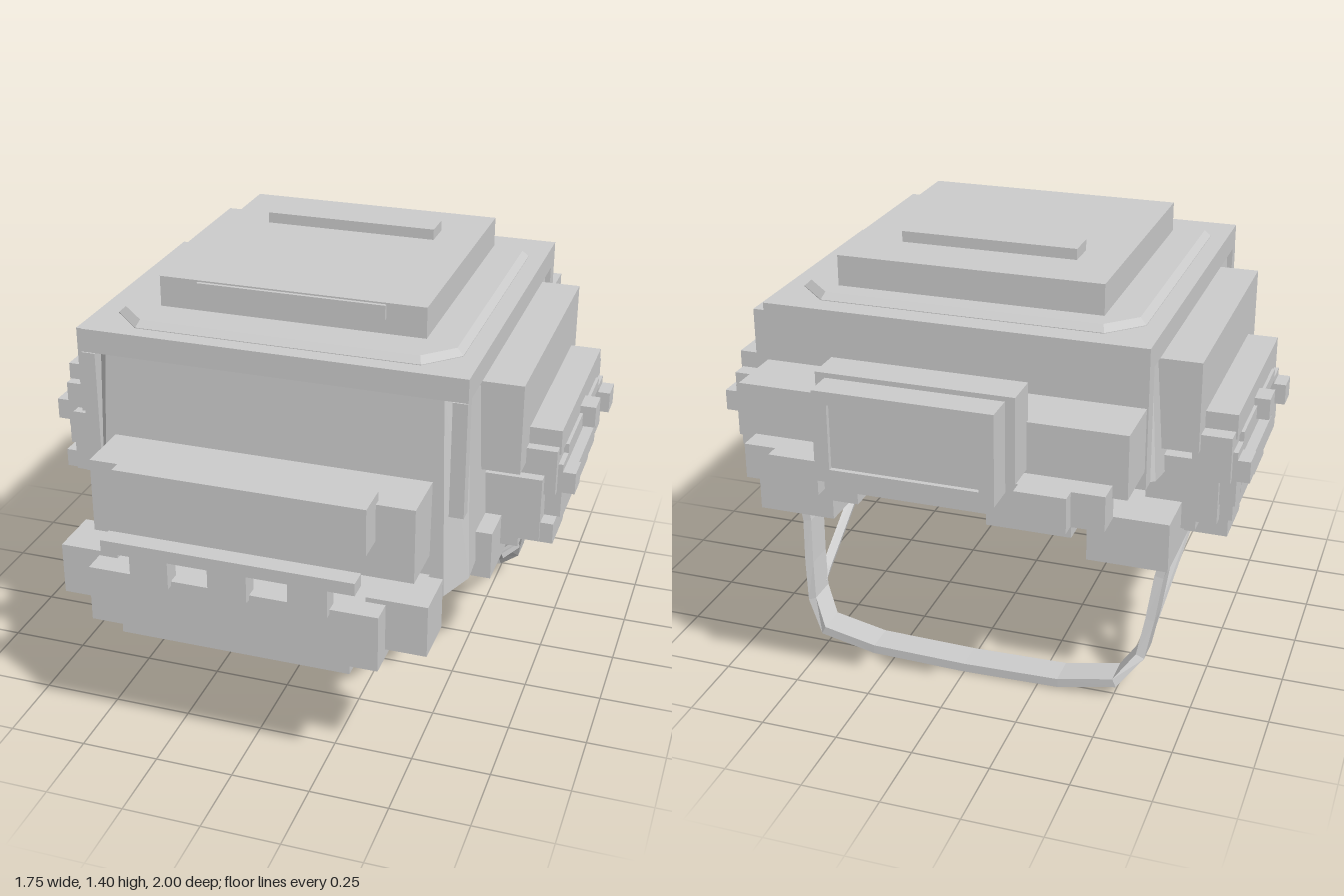
import * as THREE from 'three';

export function createModel() {
  const model = new THREE.Group();
  model.name = 'helmet';
  const grey = new THREE.MeshStandardMaterial({ color: 0xcccccc, flatShading: true });
  grey.name = 'plain grey';

  function add(name, geometry) {
    const mesh = new THREE.Mesh(geometry, grey);
    mesh.name = name;
    model.add(mesh);
    return mesh;
  }
  // Box given by its lower and upper limits on each axis
  function box(name, x0, x1, y0, y1, z0, z1) {
    const g = new THREE.BoxGeometry(x1 - x0, y1 - y0, z1 - z0);
    return add(name, g.translate((x0 + x1) / 2, (y0 + y1) / 2, (z0 + z1) / 2));
  }
  const wide = (name, x, y0, y1, z0, z1) => box(name, -x, x, y0, y1, z0, z1);
  function pair(name, x0, x1, y0, y1, z0, z1) {
    box(name + 'Left', x0, x1, y0, y1, z0, z1);
    box(name + 'Right', -x1, -x0, y0, y1, z0, z1);
  }
  // Rectangle with cut corners, drawn with shape y as -z
  function octagon(x, front, back, cut) {
    const points = [[-x + cut, -front], [x - cut, -front], [x, -front + cut], [x, back - cut],
      [x - cut, back], [-x + cut, back], [-x, back - cut], [-x, -front + cut]];
    return new THREE.Shape(points.map(([a, b]) => new THREE.Vector2(a, b)));
  }
  // Strap swept through points; each section has a width direction and a thickness
  function strap(name, points, width, thickness) {
    const pos = [], index = [];
    const p = points.map(a => new THREE.Vector3(...a));
    p.forEach((c, i) => {
      const t = p[Math.min(i + 1, p.length - 1)].clone().sub(p[Math.max(i - 1, 0)]);
      const n = t.cross(width).normalize().multiplyScalar(thickness / 2);
      for (const [w, s] of [[-0.5, -1], [0.5, -1], [0.5, 1], [-0.5, 1]]) {
        const v = c.clone().addScaledVector(width, w).addScaledVector(n, s);
        pos.push(v.x, v.y, v.z);
      }
    });
    for (let i = 0; i < p.length - 1; i++) {
      for (let k = 0; k < 4; k++) {
        const a = i * 4 + k, b = i * 4 + (k + 1) % 4;
        index.push(a, b, b + 4, a, b + 4, a + 4);
      }
    }
    const e = (p.length - 1) * 4;
    index.push(0, 2, 1, 0, 3, 2, e, e + 1, e + 2, e, e + 2, e + 3);
    // wind faces outward
    for (let i = 0; i < index.length; i += 3) {
      const tri = [0, 1, 2].map(k => new THREE.Vector3().fromArray(pos, index[i + k] * 3));
      const normal = tri[1].clone().sub(tri[0]).cross(tri[2].clone().sub(tri[0]));
      const seg = Math.min(Math.floor(Math.min(index[i], index[i + 1], index[i + 2]) / 4), p.length - 2);
      const mid = p[seg].clone().add(p[seg + 1]).multiplyScalar(0.5);
      const centre = tri[0].clone().add(tri[1]).add(tri[2]).divideScalar(3);
      if (normal.dot(centre.sub(mid)) < 0) [index[i + 1], index[i + 2]] = [index[i + 2], index[i + 1]];
    }
    const g = new THREE.BufferGeometry();
    g.setAttribute('position', new THREE.Float32BufferAttribute(pos, 3));
    g.setIndex(index);
    const flat = g.toNonIndexed();
    flat.computeVertexNormals();
    add(name, flat);
  }

  // Flared inner body with cut corners and an underside that rises to the rear
  const body = new THREE.ExtrudeGeometry(octagon(0.618, 0.64, 0.605, 0.062),
    { depth: 1, bevelEnabled: false }).rotateX(-Math.PI / 2);
  const bp = body.attributes.position;
  for (let i = 0; i < bp.count; i++) {
    const top = bp.getY(i) > 0.5, x = bp.getX(i), z = bp.getZ(i);
    const base = z > 0.6 ? 0.535 : 0.575 + (0.578 - z) * 0.2;
    bp.setXYZ(i, top ? x * 0.955 : x, top ? 1.18 : base, top ? z * 0.95 : z);
  }
  body.computeVertexNormals();
  add('body', body);

  // Outer shell: roof slab on front pillars and a rear wall
  wide('shellRoof', 0.605, 1.17, 1.245, -0.61, 0.62);
  pair('frontPillar', 0.56, 0.605, 0.8, 1.17, 0.58, 0.625);
  wide('shellRearWall', 0.605, 0.8, 1.17, -0.61, -0.555);

  // Chamfered cap and top plate
  add('roofCap', new THREE.ExtrudeGeometry(octagon(0.548, 0.565, 0.535, 0.1), {
    depth: 0.01, bevelThickness: 0.02, bevelSize: 0.02, bevelOffset: -0.02, bevelSegments: 1,
  }).rotateX(-Math.PI / 2).translate(0, 1.237, 0));
  wide('topPlate', 0.425, 1.25, 1.365, -0.45, 0.42);
  wide('topRidge', 0.285, 1.365, 1.4, -0.265, -0.165);
  wide('topFrontLabel', 0.3, 1.315, 1.36, 0.42, 0.432);

  // Front visor stack and chin bumper
  wide('visorBase', 0.508, 0.665, 0.905, 0.56, 0.805);
  wide('visorScreen', 0.39, 0.785, 0.935, 0.78, 0.897);
  wide('visorRail', 0.39, 0.715, 0.755, 0.94, 1.0);
  for (const x of [-0.245, 0, 0.245]) box('railClip', x - 0.06, x + 0.06, 0.62, 0.71, 0.93, 0.99);
  wide('bumper', 0.45, 0.455, 0.635, 0.755, 0.968);
  pair('bumperEnd', 0.39, 0.575, 0.485, 0.65, 0.73, 0.895);
  wide('bumperLip', 0.36, 0.415, 0.455, 0.815, 0.95);
  wide('chinPlate', 0.51, 0.5, 0.6, 0.47, 0.7);

  // Side packs
  pair('sidePanel', 0.54, 0.725, 0.865, 1.155, -0.45, 0.42);
  pair('sideBase', 0.56, 0.785, 0.62, 0.83, -0.42, 0.37);
  pair('sideShelf', 0.56, 0.72, 0.59, 0.62, -0.42, 0.37);
  pair('sideTopRail', 0.7, 0.825, 0.89, 0.97, -0.37, 0.3);
  pair('sideBottomRail', 0.7, 0.825, 0.62, 0.68, -0.38, 0.36);
  pair('sideCore', 0.7, 0.8, 0.68, 0.89, -0.31, 0.22);
  pair('frameTopBar', 0.78, 0.835, 0.85, 0.89, -0.31, 0.22);
  pair('frameBottomBar', 0.78, 0.835, 0.68, 0.72, -0.31, 0.22);
  pair('middleClip', 0.8, 0.875, 0.845, 0.915, -0.1, -0.015);
  for (const [z0, z1, c0, c1] of [[0.22, 0.335, 0.22, 0.305], [-0.425, -0.31, -0.4, -0.315]]) {
    pair('framePost', 0.7, 0.835, 0.68, 0.86, c0, c1);
    pair('cornerPlate', 0.7, 0.82, 0.765, 0.915, z0, z1);
    pair('cornerClip', 0.82, 0.875, 0.765, 0.835, c0, c1);
  }
  pair('sideFootFront', 0.6, 0.81, 0.555, 0.62, 0.09, 0.26);
  pair('sideFootRear', 0.6, 0.81, 0.555, 0.62, -0.365, -0.17);
  pair('frontMount', 0.55, 0.665, 0.535, 0.69, 0.22, 0.495);
  pair('rearMount', 0.42, 0.675, 0.52, 0.68, -0.58, -0.28);

  // Rear pack
  wide('rearBox', 0.6, 0.86, 1.06, -0.805, -0.54);
  wide('rearHousing', 0.3, 0.91, 1.175, -0.905, -0.79);
  wide('rearShelf', 0.555, 0.79, 0.9, -0.88, -0.79);
  pair('rearCube', 0.3, 0.455, 0.79, 0.9, -0.925, -0.86);
  pair('rearLip', 0.2, 0.455, 0.75, 0.8, -0.87, -0.77);
  pair('rearFoot', 0.3, 0.5, 0.755, 0.86, -0.75, -0.65);
  wide('rearPanel', 0.27, 0.88, 1.16, -0.985, -0.9);
  const frame = new THREE.Shape();
  frame.moveTo(-0.27, 0.88).lineTo(0.27, 0.88).lineTo(0.27, 1.16).lineTo(-0.27, 1.16);
  const hole = new THREE.Path();
  hole.moveTo(-0.225, 0.92).lineTo(-0.225, 1.12).lineTo(0.225, 1.12).lineTo(0.225, 0.92);
  frame.holes.push(hole);
  add('rearPanelFrame', new THREE.ExtrudeGeometry(frame, { depth: 0.015, bevelEnabled: false })
    .translate(0, 0, -1));

  // Chin strap loop and its two braces
  const half = [[0.645, 0.54, -0.32], [0.608, 0.39, -0.345], [0.592, 0.25, -0.38],
    [0.572, 0.13, -0.412], [0.505, 0.055, -0.475], [0.32, 0.022, -0.483]];
  const mirrored = half.map(([x, y, z]) => [-x, y, z]).reverse();
  strap('chinStrap', [...half, [0, 0.015, -0.483], ...mirrored], new THREE.Vector3(0, 0, 0.1), 0.03);
  for (const s of [-1, 1]) {
    strap('strapBrace', [[s * 0.645, 0.54, 0.34], [s * 0.608, 0.39, 0.12], [s * 0.575, 0.17, -0.355]],
      new THREE.Vector3(0, 0.04, 0.045), 0.03);
  }
  return model;
}
